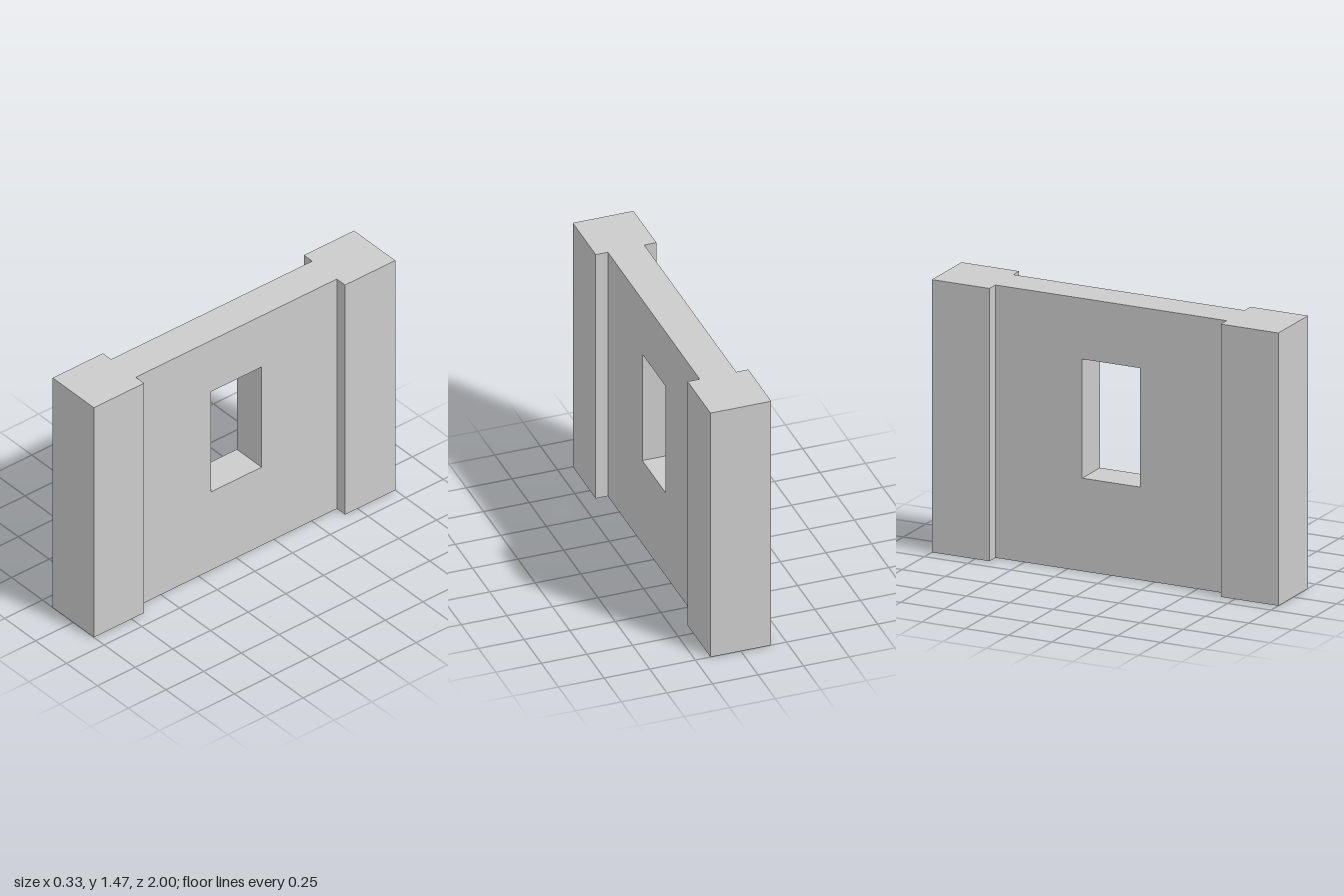
import * as THREE from 'three';

const HEIGHT = 1.467;
const PILLAR = 0.333; // square pillar width
const WALL_THICKNESS = 0.2;
const WALL_HALF = 1 - PILLAR; // half length of the wall between pillars

// Rectangle outline, counter-clockwise
function rectangle(PathType, x0, y0, x1, y1) {
  const path = new PathType();
  path.moveTo(x0, y0);
  path.lineTo(x1, y0);
  path.lineTo(x1, y1);
  path.lineTo(x0, y1);
  path.closePath();
  return path;
}

export function createModel() {
  const group = new THREE.Group();
  group.name = 'windowWall';
  const material = new THREE.MeshStandardMaterial({ color: 0xcccccc, flatShading: true });

  // Wall panel with a window opening, running along z
  const outline = rectangle(THREE.Shape, -WALL_HALF, 0, WALL_HALF, HEIGHT);
  outline.holes.push(rectangle(THREE.Path, -0.167, 0.5, 0.167, 1.14));
  const wallGeometry = new THREE.ExtrudeGeometry(outline, { depth: WALL_THICKNESS, bevelEnabled: false });
  wallGeometry.translate(0, 0, -WALL_THICKNESS / 2).rotateY(Math.PI / 2);
  const wall = new THREE.Mesh(wallGeometry, material);
  wall.name = 'wallPanel';
  group.add(wall);

  // Thicker pillar at each end
  const pillarGeometry = new THREE.BoxGeometry(PILLAR, HEIGHT, PILLAR);
  for (const [name, side] of [['frontPillar', 1], ['backPillar', -1]]) {
    const pillar = new THREE.Mesh(pillarGeometry, material);
    pillar.name = name;
    pillar.position.set(0, HEIGHT / 2, side * (1 - PILLAR / 2));
    group.add(pillar);
  }

  return group;
}
